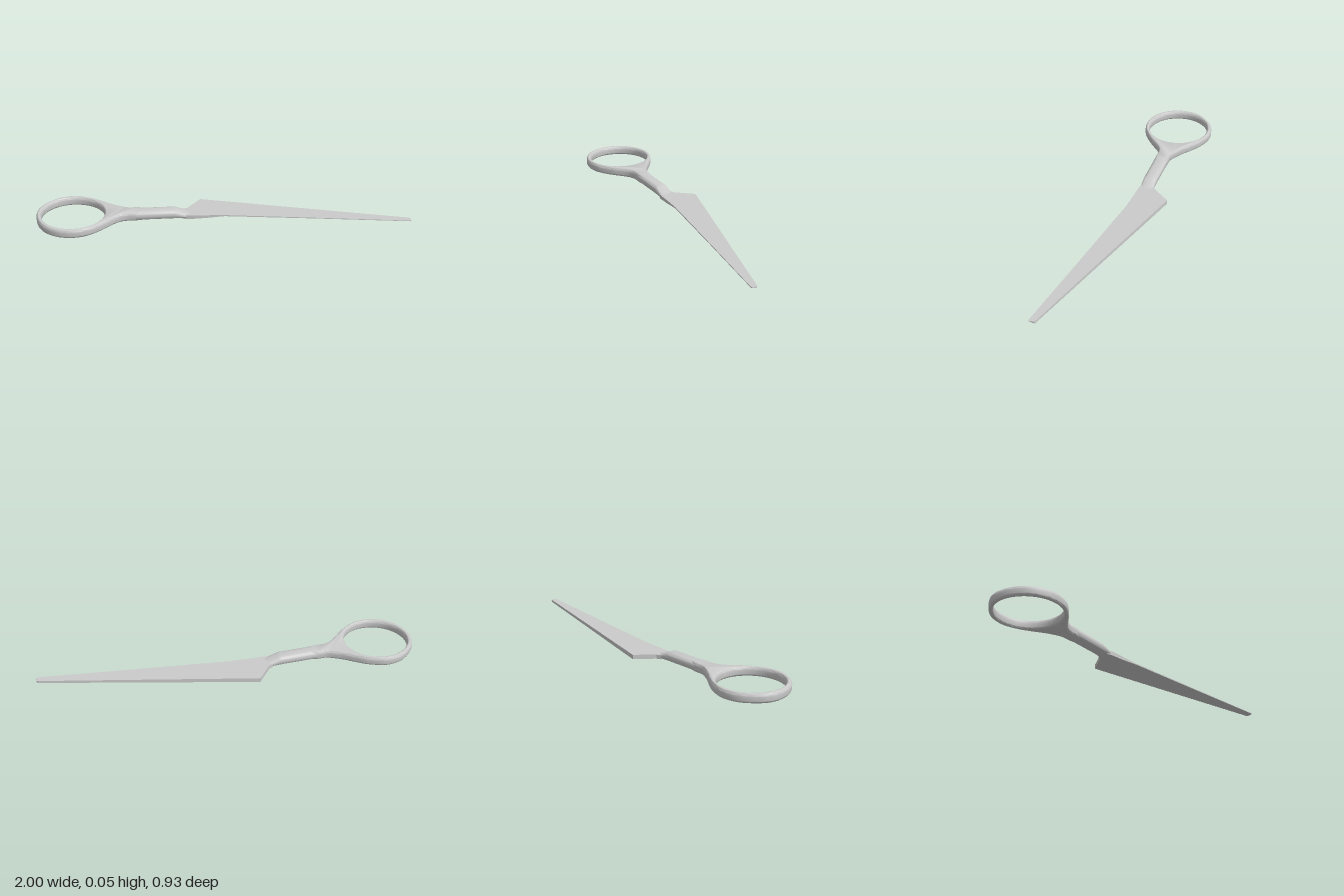
import * as THREE from 'three';
import { toCreasedNormals } from 'three/addons/utils/BufferGeometryUtils.js';

const material = new THREE.MeshStandardMaterial({ color: 0xcccccc });

// Skin a row of equal-length cross-sections and cap both ends.
function loft(sections, crease) {
  const pos = [];
  const tri = (a, b, c) => pos.push(...a, ...b, ...c);
  const n = sections[0].length;
  for (let i = 0; i < sections.length - 1; i++) {
    const s = sections[i], t = sections[i + 1];
    for (let j = 0; j < n; j++) {
      const k = (j + 1) % n;
      tri(s[j], s[k], t[k]);
      tri(s[j], t[k], t[j]);
    }
  }
  const first = sections[0], last = sections[sections.length - 1];
  for (let j = 1; j < n - 1; j++) {
    tri(first[0], first[j + 1], first[j]);
    tri(last[0], last[j], last[j + 1]);
  }
  const geometry = new THREE.BufferGeometry();
  geometry.setAttribute('position', new THREE.Float32BufferAttribute(pos, 3));
  return toCreasedNormals(geometry, crease);
}

// Finger ring flaring into the shank, with rounded rims.
function fingerRing() {
  const outline = [
    [-0.45, 0.046], [-0.485, 0.056], [-0.53, 0.077], [-0.57, 0.081], [-0.63, 0.078], [-0.7, 0.067],
    [-0.78, 0.06], [-0.88, 0.077], [-0.962, 0.147], [-1, 0.27], [-0.965, 0.37],
    [-0.89, 0.44], [-0.8, 0.464], [-0.71, 0.447], [-0.635, 0.392], [-0.585, 0.305],
    [-0.545, 0.2], [-0.51, 0.158], [-0.46, 0.131], [-0.424, 0.107],
  ].map(([x, z]) => new THREE.Vector2(x, -z));
  const shape = new THREE.Shape(new THREE.SplineCurve(outline).getPoints(120));
  const hole = new THREE.EllipseCurve(-0.79, -0.26, 0.181, 0.176);
  shape.holes.push(new THREE.Path(hole.getPoints(80).slice(0, -1)));
  const geometry = new THREE.ExtrudeGeometry(shape, {
    depth: 0.017, bevelThickness: 0.018, bevelSize: 0.011, bevelOffset: -0.011, bevelSegments: 5,
  });
  geometry.rotateX(-Math.PI / 2).translate(0, 0.018, 0);
  return toCreasedNormals(geometry, 0.8);
}

// Rounded shank, dropping to blade level at its far end.
function shank() {
  const power = (v) => Math.sign(v) * Math.abs(v) ** 0.66;
  // centre x, half width, bottom y, top y
  const rows = [
    [-0.54, 0.03, 0.001, 0.052], [-0.47, 0.04, 0, 0.053], [-0.28, 0.039, 0, 0.053],
    [-0.265, 0.039, 0, 0.049], [-0.215, 0.038, 0, 0.027], [-0.2, 0.036, 0, 0.025],
    [-0.15, 0.028, 0.004, 0.0245],
  ];
  const sections = rows.map(([x, w, lo, hi]) => {
    const z = 0.0785 - 0.515 * (x + 0.4415);
    return Array.from({ length: 28 }, (_, i) => {
      const a = (i / 28) * Math.PI * 2;
      const side = w * power(Math.sin(a));
      return [x + 0.456 * side, (lo + hi) / 2 + ((hi - lo) / 2) * power(Math.cos(a)), z + 0.89 * side];
    });
  });
  return loft(sections, 0.7);
}

// Flat-topped blade: thick spine at the back, thin cutting edge at the front.
function blade() {
  const top = 0.025;
  // spine x, spine z, edge x, edge z, spine bottom y, edge bottom y
  const rows = [
    [-0.25, -0.065, -0.25, 0.0, 0.002, 0.002],
    [-0.232, -0.085, -0.22, 0.0, 0.001, 0.001],
    [-0.205, -0.21, -0.19, -0.005, 0, 0.001],
    [-0.1, -0.233, -0.1, -0.046, 0.001, 0.007],
    [0, -0.255, 0, -0.09, 0.002, 0.018],
    [0.5, -0.364, 0.5, -0.266, 0.007, 0.02],
    [0.98, -0.469, 0.995, -0.438, 0.012, 0.021],
    [0.987, -0.467, 1, -0.444, 0.014, 0.021],
  ];
  return loft(rows.map(([sx, sz, ex, ez, sy, ey]) => [
    [sx, top, sz], [ex, top, ez], [ex, ey, ez], [sx, sy, sz],
  ]), 0.3);
}

export function createModel() {
  const model = new THREE.Group();
  model.name = 'scissorHalf';
  for (const [name, geometry] of Object.entries({
    fingerRing: fingerRing(), shank: shank(), blade: blade(),
  })) {
    const mesh = new THREE.Mesh(geometry, material);
    mesh.name = name;
    model.add(mesh);
  }
  return model;
}
